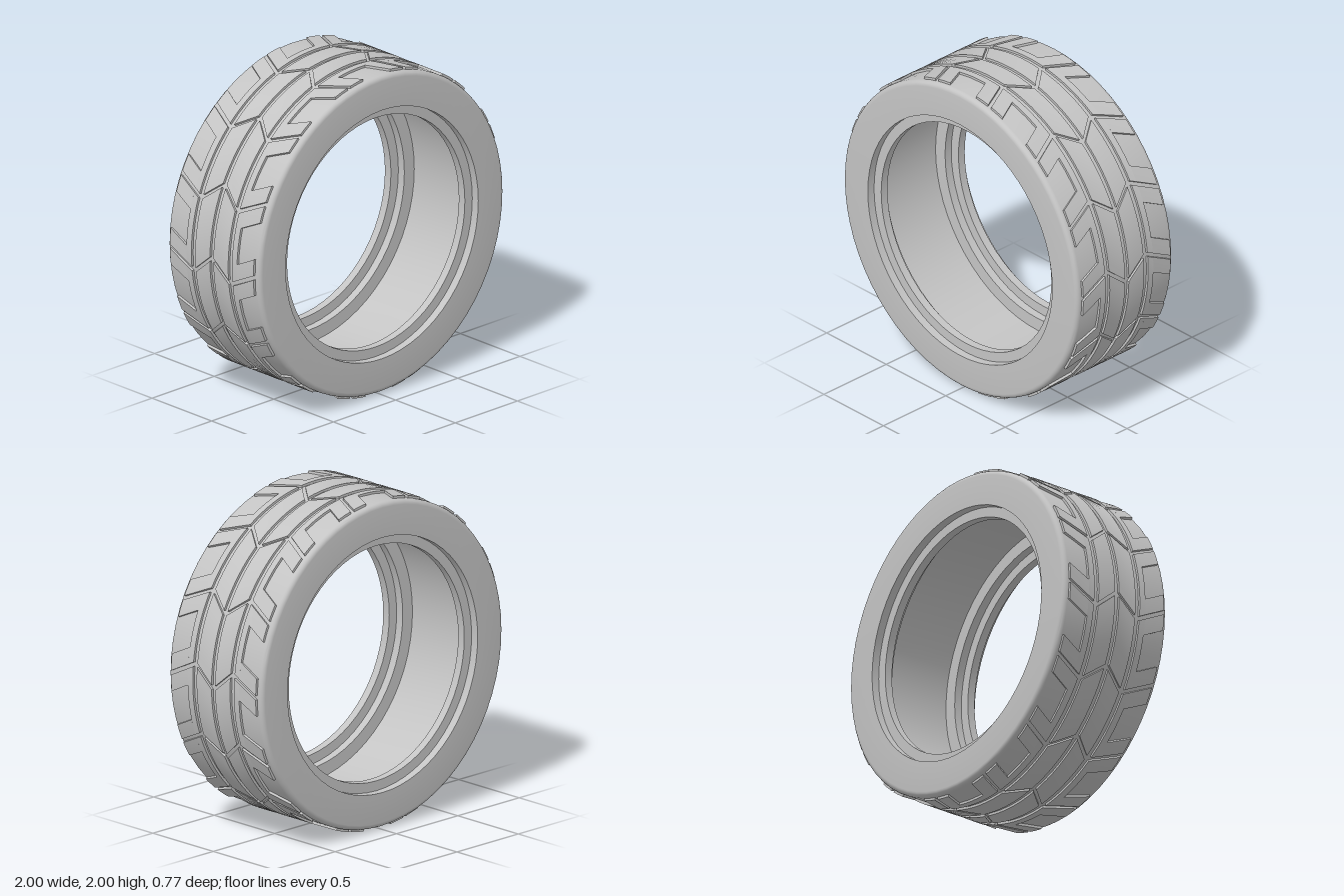
import * as THREE from 'three';
import { toCreasedNormals } from 'three/addons/utils/BufferGeometryUtils.js';

const PITCH = (Math.PI * 2) / 14;   // one tread repeat
const R_BASE = 0.98, R_TREAD = 1.0;

// Angular offset of the zigzag groove at a given distance from the centre line
function sweep(z) {
  const a = Math.abs(z);
  return a < 0.155 ? 0.105 * (0.14 - a) / 0.125 : 0.09 * (a - 0.17) / 0.18;
}

// A raised curved block: spans angles a0..a1 (plus the zigzag sweep) and z0..z1
function block(a0, a1, z0, z1) {
  const steps = Math.max(2, Math.ceil((a1 - a0) / 0.06));
  const g = new THREE.BoxGeometry(1, 1, 1, steps, 1, 1);
  const p = g.attributes.position;
  for (let i = 0; i < p.count; i++) {
    const z = z0 + (p.getZ(i) + 0.5) * (z1 - z0);
    const a = a0 + (p.getX(i) + 0.5) * (a1 - a0) + sweep(z);
    const r = p.getY(i) > 0 ? R_TREAD : R_BASE;
    p.setXYZ(i, Math.sin(a) * r, Math.cos(a) * r, z);
  }
  return toCreasedNormals(g, 0.5);
}

export function createModel() {
  const rubber = new THREE.MeshStandardMaterial({ color: 0xc4c4c4 });
  rubber.name = 'grey rubber';
  const model = new THREE.Group();
  model.name = 'tyre';
  const wheel = new THREE.Group();
  wheel.name = 'tyreAssembly';
  wheel.position.y = 1;
  model.add(wheel);

  // Half of the carcass section, from tread centre round the shoulder into the cavity
  const half = [[0.986, 0], [0.986, 0.355]];
  for (let i = 1; i <= 5; i++) {
    const t = (i / 5) * Math.PI / 2;
    half.push([0.956 + 0.03 * Math.cos(t), 0.355 + 0.03 * Math.sin(t)]);
  }
  // Sidewall, bead lip standing proud of the wall's inner edge, then the cavity
  half.push([0.775, 0.385], [0.775, 0.335], [0.715, 0.335], [0.715, 0.285],
    [0.775, 0.285], [0.775, 0.235], [0.855, 0.235], [0.855, 0]);
  const mirrored = half.slice(0, -1).reverse().map(([r, z]) => [r, -z]);
  const section = [...half, ...mirrored].map(([r, z]) => new THREE.Vector2(r, z));
  const carcassGeo = new THREE.LatheGeometry(section, 64);
  carcassGeo.rotateX(Math.PI / 2);
  const carcass = new THREE.Mesh(toCreasedNormals(carcassGeo, 0.6), rubber);
  carcass.name = 'carcass';
  wheel.add(carcass);

  // Pieces of one tread repeat, for both sides of the centre line
  const gap = 0.013, end = PITCH - gap, mid = PITCH / 2, notch = 0.11;
  const pieces = [
    ['centreBlock', gap, end, 0.015, 0.138],
    ['shoulderRib', gap, end, 0.17, 0.212],
    ['shoulderArmLeading', gap, mid - notch, 0.212, 0.35],
    ['shoulderArmTrailing', mid + notch, end, 0.212, 0.35],
  ];
  for (const [name, a0, a1, z0, z1] of pieces) {
    for (const side of [1, -1]) {
      const geo = side > 0 ? block(a0, a1, z0, z1) : block(a0, a1, -z1, -z0);
      for (let k = 0; k < 14; k++) {
        const mesh = new THREE.Mesh(geo, rubber);
        mesh.name = name;
        mesh.rotation.z = -(0.125 + k * PITCH);
        wheel.add(mesh);
      }
    }
  }
  return model;
}
